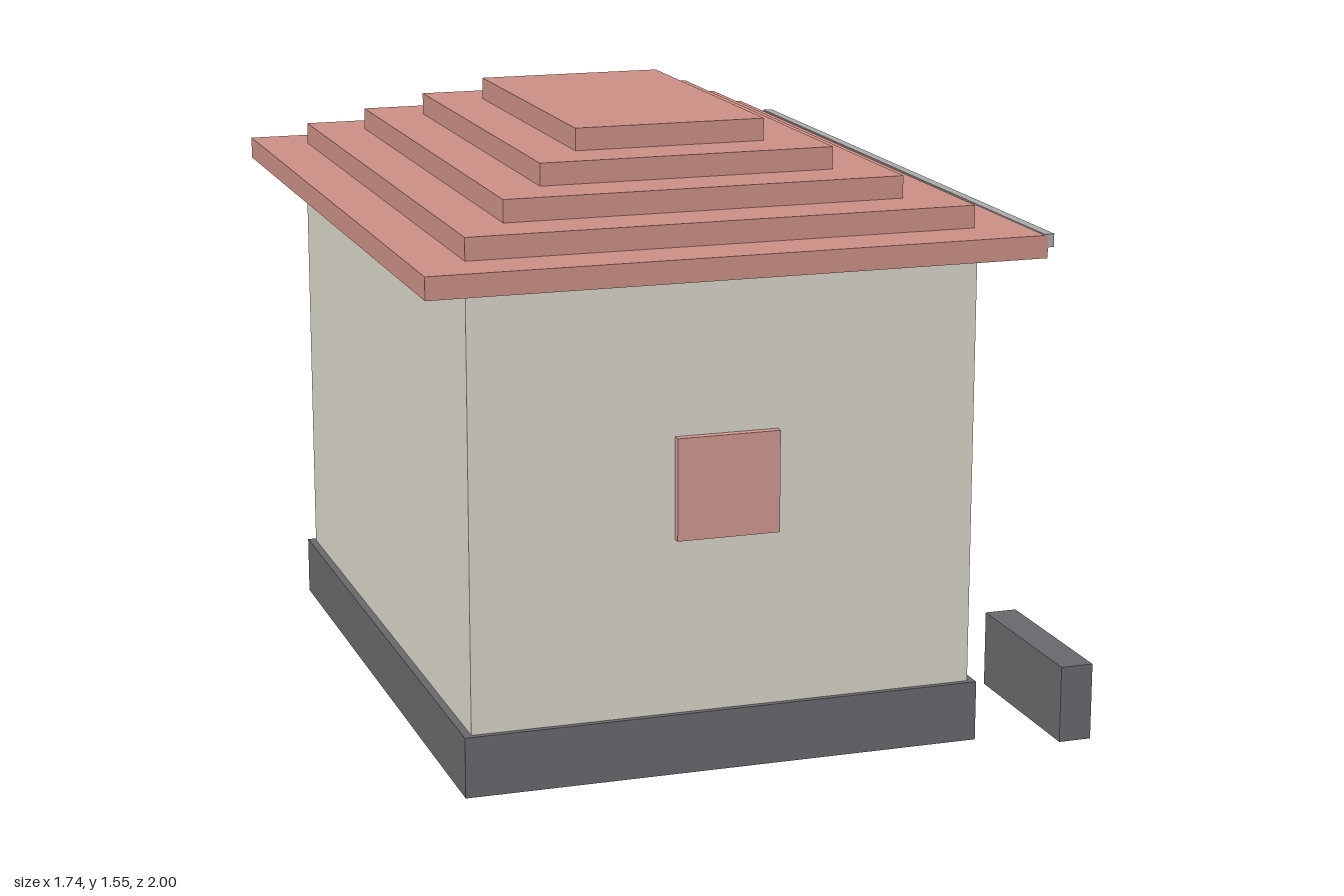
import * as THREE from 'three';

const material = (color) => new THREE.MeshStandardMaterial({ color });

export function createModel() {
  const house = new THREE.Group();
  house.name = 'house';
  const stone = material(0x68686c), plaster = material(0xd6d3c6), tile = material(0xc98e84);
  const glass = material(0xcf9690), metal = material(0xa9a9a9), wood = material(0xa48a66);

  // Box given by its [min, max] range on each axis
  function block(name, mat, [x0, x1], [y0, y1], [z0, z1], parent = house) {
    const mesh = new THREE.Mesh(new THREE.BoxGeometry(x1 - x0, y1 - y0, z1 - z0), mat);
    mesh.position.set((x0 + x1) / 2, (y0 + y1) / 2, (z0 + z1) / 2);
    mesh.name = name;
    parent.add(mesh);
    return mesh;
  }

  // Plinth and walls
  block('plinth', stone, [-0.76, 0.584], [0, 0.155], [-0.885, 0.885]);
  block('walls', plaster, [-0.74, 0.565], [0.155, 1.26], [-0.87, 0.87]);

  // Stepped roof, each tier inset from the one below
  const roof = new THREE.Group();
  roof.name = 'roof';
  house.add(roof);
  const tierHeight = 0.057;
  for (let i = 0; i < 5; i++) {
    const y = 1.27 + i * tierHeight, halfDepth = 1 - i * 0.1405;
    block('roofTier', tile, [-0.87 + i * 0.133, 0.694 - i * 0.1335],
      [y, y + tierHeight], [-halfDepth, halfDepth], roof);
  }
  block('gutter', metal, [0.685, 0.71], [1.297, 1.33], [-1, 1]);

  // Upper windows with thin glazing bars and sills
  const wall = 0.565, pane = 0.588;
  for (const z of [-0.521, 0.002, 0.525]) {
    const w = new THREE.Group();
    w.name = 'sideWindow';
    w.position.z = z;
    house.add(w);
    const tall = z !== 0.002;
    block('upperPane', glass, [wall, pane], [0.777, 1.056], [-0.13, 0.13], w);
    block('upperSill', metal, [wall, 0.606], [0.761, 0.777], [-0.146, 0.146], w);
    block('glazingBar', metal, [wall, pane + 0.001], [0.777, 1.056], [-0.003, 0.003], w);
    block('glazingBar', metal, [wall, pane + 0.001], [0.914, 0.92], [-0.13, 0.13], w);
    if (tall) {
      block('lowerPane', glass, [wall, pane + 0.0005], [0.59, 0.874], [-0.14, 0.14], w);
      block('lowerSill', metal, [wall, 0.608], [0.574, 0.59], [-0.158, 0.158], w);
      block('glazingBar', metal, [wall, pane + 0.001], [0.59, 0.777], [-0.003, 0.003], w);
    }
  }

  // Shutters on the two gable ends
  for (const s of [-1, 1]) {
    const z = [0.87 * s, 0.892 * s].sort((a, b) => a - b);
    block('endWindow', glass, [-0.22, 0.045], [0.603, 0.862], z);
  }

  // Door, knob and step
  block('door', metal, [wall, 0.587], [0.067, 0.527], [-0.133, 0.134]);
  const knob = new THREE.Mesh(new THREE.SphereGeometry(0.008, 12, 8), metal);
  knob.name = 'doorKnob';
  knob.position.set(0.585, 0.297, -0.085);
  house.add(knob);
  block('doorStep', metal, [0.565, 0.671], [0.079, 0.113], [-0.195, 0.198]);

  // Garden wall and crate
  block('gardenWall', stone, [0.781, 0.867], [0, 0.2], [0.495, 0.97]);
  block('crate', wood, [0.725, 0.834], [0, 0.112], [-0.704, -0.555]);

  return house;
}
